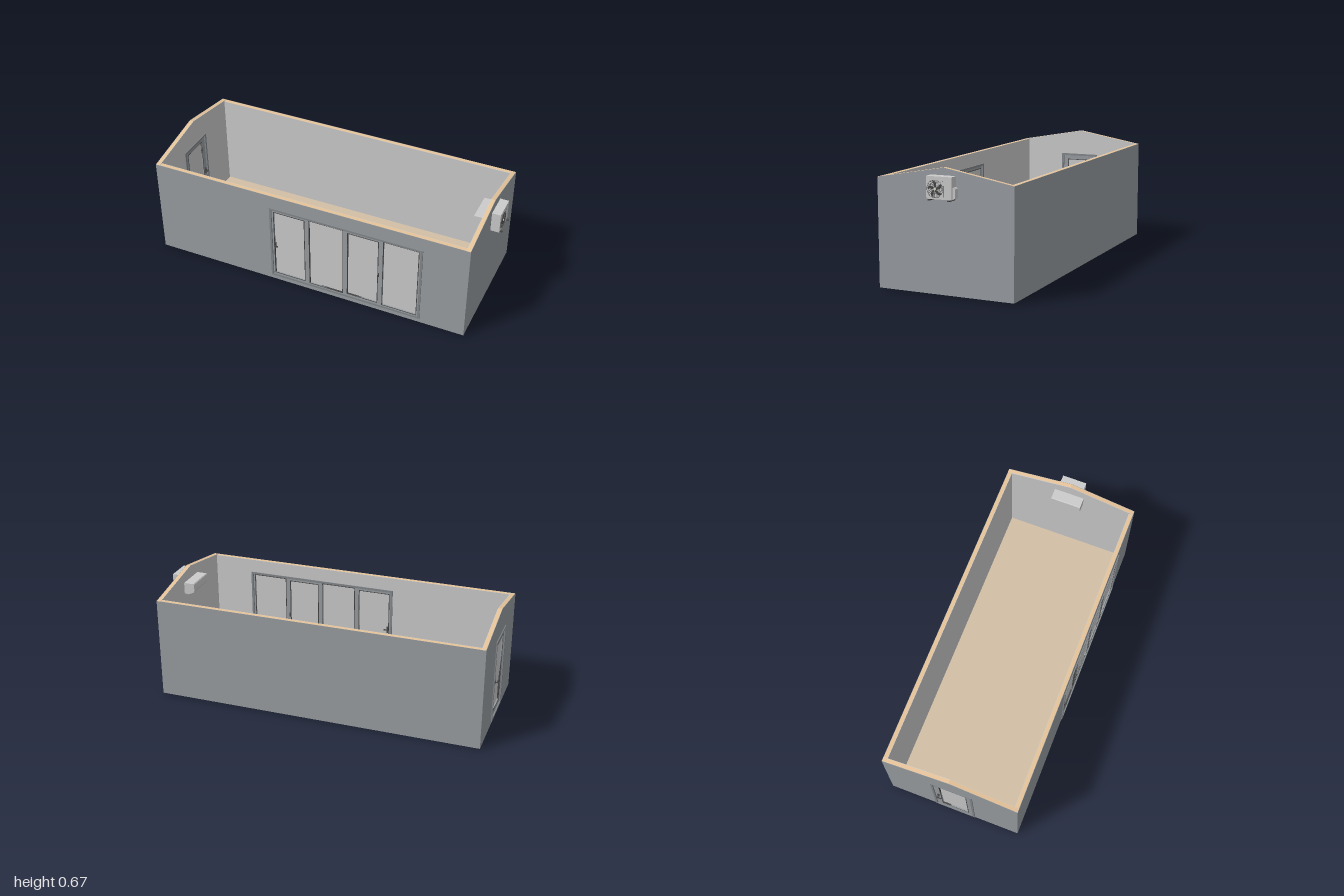
import * as THREE from 'three';

const mat = (color) => new THREE.MeshStandardMaterial({ color });
const grey = mat(0xcccccc), cladding = mat(0x999ea2), timber = mat(0xe6c49a);
const boards = mat(0xd2bfa5), slabGrey = mat(0x77797b), frameGrey = mat(0x84888b);
const dark = mat(0x484848), ivory = mat(0xe4dfcc);

// Outer extents of the cabin
const X0 = -0.98, X1 = 0.93, Z0 = -0.4, Z1 = 0.387, Y0 = 0.005, EAVE = 0.6, RIDGE = 0.67;
const SKIN = 0.002, T = 0.026;

function add(parent, name, geometry, material, x = 0, y = 0, z = 0) {
  const m = new THREE.Mesh(geometry, material);
  m.name = name;
  m.position.set(x, y, z);
  parent.add(m);
  return m;
}

// Box given by its minimum and maximum on each axis
function span(parent, name, material, x0, x1, y0, y1, z0, z1) {
  return add(parent, name, new THREE.BoxGeometry(x1 - x0, y1 - y0, z1 - z0), material,
    (x0 + x1) / 2, (y0 + y1) / 2, (z0 + z1) / 2);
}

const polygon = (pts) => new THREE.Shape(pts.map((p) => new THREE.Vector2(...p)));
const rect = (a, b, c, d) => [[a, c], [b, c], [b, d], [a, d]];

// Flat plate with rectangular holes, from z0 to z1
function plate(parent, name, material, pts, holes, z0, z1) {
  const shape = polygon(pts);
  holes.forEach((h) => shape.holes.push(polygon(rect(...h))));
  const g = new THREE.ExtrudeGeometry(shape, { depth: z1 - z0, bevelEnabled: false });
  return add(parent, name, g, material, 0, 0, z0);
}

// Timber wall between an outer cladding and an inner lining; outside faces local +z
function wall(name, outline, holes, outer) {
  const g = new THREE.Group();
  g.name = name;
  plate(g, 'cladding', cladding, outline, holes, outer - SKIN, outer);
  plate(g, 'timberCore', timber, outline, holes, outer - T + SKIN, outer - SKIN);
  plate(g, 'innerLining', grey, outline, holes, outer - T, outer - T + SKIN);
  return g;
}

// Casing, sashes and panes filling one opening; outside faces local +z
function glazing(name, opening, panes, outer) {
  const g = new THREE.Group();
  g.name = name;
  const [a, b, c, d] = opening, t = 0.012;
  const inner = [a + t, b - t, c + t, d - t];
  plate(g, 'casing', frameGrey, rect(...opening), [inner], outer - T - 0.005, outer + 0.006);
  plate(g, 'sashes', cladding, rect(...inner), panes, outer - T + 0.004, outer - 0.002);
  panes.forEach((p) => {
    const rim = 0.004;
    plate(g, 'glazingBead', dark, rect(p[0] - rim, p[1] + rim, p[2] - rim, p[3] + rim), [p],
      outer - T + 0.003, outer - 0.001);
    span(g, 'pane', grey, p[0], p[1], p[2], p[3], outer - 0.016, outer - 0.01);
  });
  return g;
}

// Lever handle on both sides of a door
function handle(parent, x, y, outer, length, reach) {
  for (const [z, s] of [[outer, 1], [outer - T, -1]]) {
    span(parent, 'handlePlate', dark, x - 0.005, x + 0.005, y - 0.022, y + 0.018, z - 0.004, z + 0.004);
    const stem = add(parent, 'handleStem', new THREE.CylinderGeometry(0.003, 0.003, reach, 10), dark,
      x, y, z + s * reach / 2);
    stem.rotation.x = Math.PI / 2;
    span(parent, 'handleLever', dark, x - 0.003, x + length, y - 0.003, y + 0.003,
      z + s * reach - 0.003, z + s * reach + 0.003);
  }
}

// Outdoor unit, built facing +z and centred on its back
function outdoorUnit() {
  const g = new THREE.Group();
  g.name = 'outdoorUnit';
  span(g, 'casing', grey, -0.065, 0.08, 0.515, 0.632, 0.006, 0.056);
  // Side valve cover with a sloping top
  plate(g, 'valveCover', grey,
    [[0.08, 0.517], [0.094, 0.523], [0.094, 0.57], [0.086, 0.577], [0.08, 0.577]], [], 0.012, 0.046);
  for (const x of [-0.05, 0.062]) {
    span(g, 'foot', dark, x, x + 0.012, 0.509, 0.515, 0.002, 0.07);
    span(g, 'wallBracket', dark, x + 0.003, x + 0.009, 0.515, 0.56, 0, 0.006);
  }
  const fan = new THREE.Group();
  fan.name = 'fan';
  fan.position.set(-0.014, 0.568, 0.056);
  g.add(fan);
  // Wire guard
  for (let i = 0; i < 9; i++) {
    const r = 0.014 + i * 0.004;
    add(fan, 'guardRing', new THREE.TorusGeometry(r, i === 8 ? 0.0009 : 0.0004, 4, 40),
      dark, 0, 0, 0.003);
  }
  for (let i = 0; i < 24; i++) {
    const spoke = add(fan, 'guardSpoke', new THREE.BoxGeometry(0.034, 0.0005, 0.0005), dark);
    const a = i * Math.PI / 12;
    spoke.position.set(0.029 * Math.cos(a), 0.029 * Math.sin(a), 0.003);
    spoke.rotation.z = a;
  }
  // Swept blades
  const blade = new THREE.Shape();
  blade.moveTo(0.004, -0.003);
  blade.bezierCurveTo(0.018, -0.012, 0.034, -0.012, 0.042, 0.002);
  blade.bezierCurveTo(0.045, 0.01, 0.038, 0.014, 0.031, 0.008);
  blade.bezierCurveTo(0.022, 0.001, 0.014, 0.002, 0.004, 0.004);
  const bladeGeometry = new THREE.ExtrudeGeometry(blade, { depth: 0.002, bevelEnabled: false });
  for (let i = 0; i < 5; i++) {
    add(fan, 'blade', bladeGeometry, dark).rotation.z = 0.4 + i * Math.PI * 0.4;
  }
  add(fan, 'hub', new THREE.CylinderGeometry(0.007, 0.007, 0.004, 24), ivory, 0, 0, 0.003)
    .rotation.x = Math.PI / 2;
  span(g, 'frontSlot', dark, 0.0315, 0.0335, 0.527, 0.612, 0.055, 0.057);
  return g;
}

export function createModel() {
  const model = new THREE.Group();
  model.name = 'cabin';

  // Long walls, with the glazed opening at the front
  const long = rect(X0, X1, Y0, EAVE), frontHole = [-0.25, 0.67, 0.033, 0.52];
  const front = wall('frontWall', long, [frontHole], Z1);
  const back = wall('backWall', long, [], -Z0);
  back.rotation.y = Math.PI;
  back.position.x = X0 + X1;
  model.add(front, back);

  const patio = glazing('patioDoors', frontHole, [
    [-0.225, -0.038, 0.055, 0.49], [-0.005, 0.198, 0.05, 0.5],
    [0.23, 0.41, 0.055, 0.49], [0.443, 0.645, 0.05, 0.5],
  ], Z1);
  handle(patio, -0.222, 0.26, Z1, 0.022, 0.01);
  for (const z of [Z1, Z1 - T]) {
    span(patio, 'slidingPull', dark, 0.414, 0.42, 0.25, 0.275, z - 0.004, z + 0.004);
  }
  model.add(patio);

  // Gable walls in local frames whose +z points outwards
  const gable = (lo, hi, ridge) =>
    [[lo, Y0], [hi, Y0], [hi, EAVE], [ridge, RIDGE], [lo, EAVE]];
  const e = SKIN, doorHole = [-0.122, 0.122, 0.02, 0.516];
  const leftEnd = new THREE.Group(), rightEnd = new THREE.Group();
  leftEnd.name = 'fanEnd';
  rightEnd.name = 'doorEnd';
  leftEnd.rotation.y = Math.PI / 2;
  rightEnd.rotation.y = -Math.PI / 2;
  leftEnd.add(wall('gableWall', gable(-Z1 + e / 4, -Z0 - e / 4, 0.006), [], X1 + 0.0005));
  rightEnd.add(wall('gableWall', gable(Z0 + e / 4, Z1 - e / 4, -0.006), [doorHole], -X0 + 0.0005));
  model.add(leftEnd, rightEnd);

  const door = glazing('sideDoor', doorHole, [[-0.075, 0.08, 0.065, 0.475]], -X0);
  handle(door, -0.092, 0.26, -X0, 0.024, 0.016);
  rightEnd.add(door);

  const unit = outdoorUnit();
  unit.position.z = X1;
  leftEnd.add(unit);

  // Indoor unit: profile across the wall, swept along its length
  const profile = polygon([[0.905, 0.528], [0.878, 0.525], [0.846, 0.54], [0.84, 0.552],
    [0.84, 0.59], [0.845, 0.595], [0.905, 0.595]].reverse());
  const indoor = new THREE.Group();
  indoor.name = 'indoorUnit';
  add(indoor, 'body', new THREE.ExtrudeGeometry(profile, { depth: 0.18, bevelEnabled: false }),
    grey, 0, 0, -0.1);
  const vent = span(indoor, 'vent', dark, 0.85, 0.872, 0.533, 0.535, -0.085, 0.065);
  vent.rotation.z = -0.44;
  model.add(indoor);

  // Floor slab and boards
  span(model, 'floorSlab', slabGrey, X0 + T, X1 - T, 0, 0.012, Z0 + T, Z1 - T);
  span(model, 'floorBoards', boards, X0 + T, X1 - T, 0.012, 0.022, Z0 + T, Z1 - T);
  return model;
}
